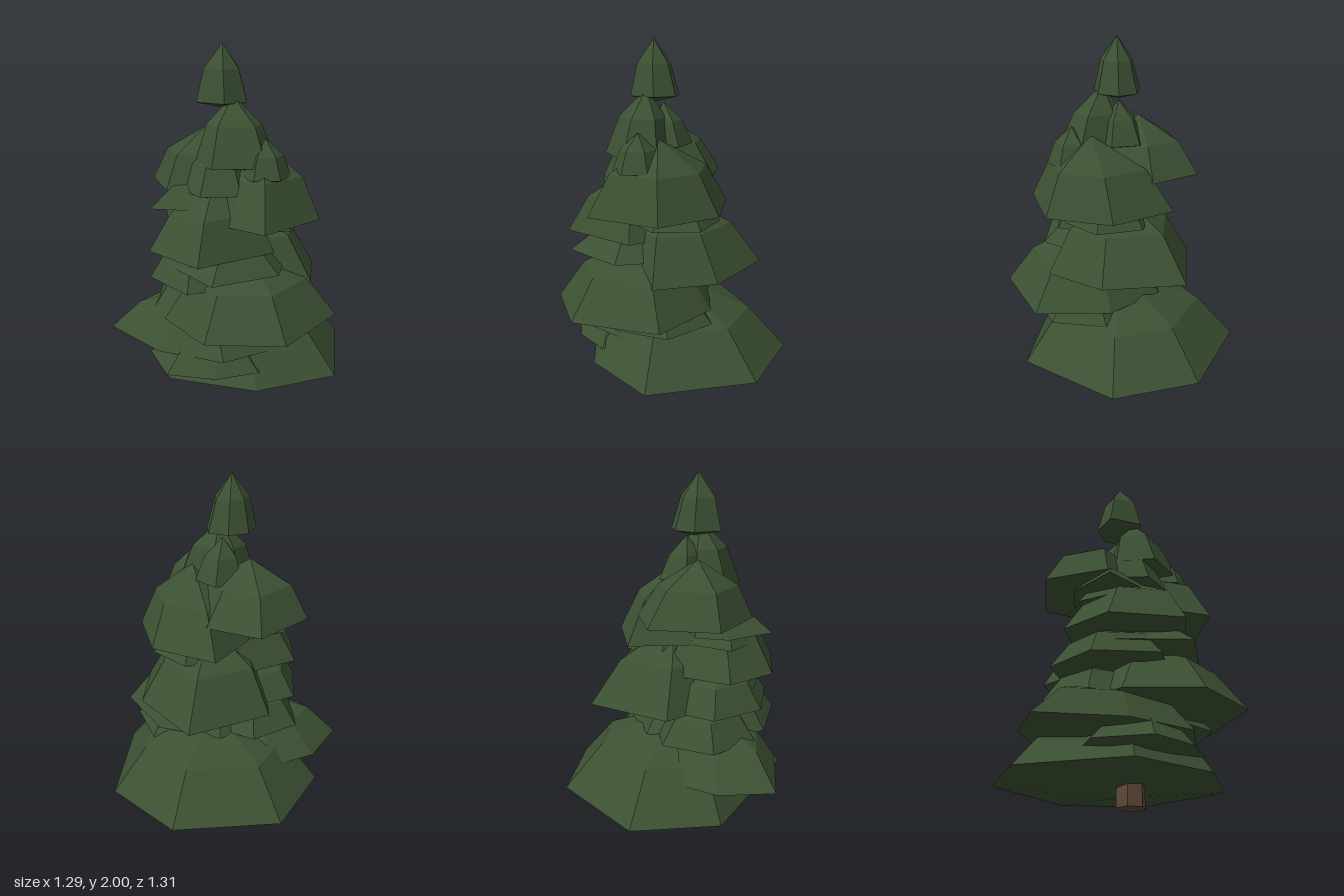
import * as THREE from 'three';

const foliage = new THREE.MeshStandardMaterial({ color: 0x3c5133 });
foliage.name = 'dark pine green';
const bark = new THREE.MeshStandardMaterial({ color: 0x5c4936 });
bark.name = 'bark brown';

// Separate the faces so every facet is flat
function faceted(geometry) {
  const flat = geometry.toNonIndexed();
  flat.computeVertexNormals();
  return flat;
}

// Regular rim corners [x, z], running from +x towards +z
function ring(cx, cz, radius, degrees, sides = 6) {
  return Array.from({ length: sides }, (_, i) => {
    const a = THREE.MathUtils.degToRad(degrees) + (i / sides) * Math.PI * 2;
    return [cx + Math.cos(a) * radius, cz + Math.sin(a) * radius];
  });
}

// One bough: a bell with a sharp rim, a shoulder, a tip and a shallow pointed underside.
// The rim is a list of [x, z] corners; lean shifts the tip sideways.
function bough(name, rimY, tipY, rim, [leanX, leanZ] = [0, 0]) {
  const n = rim.length;
  const cx = rim.reduce((sum, c) => sum + c[0], 0) / n;
  const cz = rim.reduce((sum, c) => sum + c[1], 0) / n;
  const reach = rim.reduce((sum, [x, z]) => sum + Math.hypot(x - cx, z - cz), 0) / n;
  const height = tipY - rimY;
  const points = [];
  const indices = [];
  for (const [scale, t] of [[1, 0], [0.68, 0.57]]) {
    for (const [x, z] of rim) {
      points.push(cx + (x - cx) * scale + leanX * t, rimY + height * t, cz + (z - cz) * scale + leanZ * t);
    }
  }
  points.push(cx, rimY - 0.025 - reach * 0.075, cz);
  points.push(cx + leanX, tipY, cz + leanZ);
  const [under, tip] = [2 * n, 2 * n + 1];
  for (let a = 0; a < n; a++) {
    const b = (a + 1) % n;
    indices.push(under, a, b, b, a, n + a, b, n + a, n + b, n + b, n + a, tip);
  }
  const geometry = new THREE.BufferGeometry();
  geometry.setAttribute('position', new THREE.Float32BufferAttribute(points, 3));
  geometry.setIndex(indices);
  const mesh = new THREE.Mesh(faceted(geometry), foliage);
  mesh.name = name;
  return mesh;
}

export function createModel() {
  const tree = new THREE.Group();
  tree.name = 'conifer';

  // Short six-sided trunk
  const trunk = new THREE.Mesh(faceted(new THREE.CylinderGeometry(0.075, 0.08, 0.3, 6)), bark);
  trunk.name = 'trunk';
  trunk.rotation.y = Math.PI / 6;
  trunk.position.set(0.022, 0.15, 0.125);
  tree.add(trunk);

  // Wide skirt of low boughs
  tree.add(
    bough('baseSkirt', 0.155, 0.6,
      [[0.64, -0.03], [0.38, 0.38], [-0.1, 0.56], [-0.62, 0.23], [-0.65, -0.27], [-0.17, -0.66], [0.33, -0.58]], [0.02, 0.04]),
    bough('lowFrontBough', 0.24, 0.44,
      [[0.36, 0.33], [0.22, 0.53], [-0.03, 0.65], [-0.3, 0.5], [-0.3, 0.2], [-0.1, 0], [0.3, 0.1]]),
    bough('lowLeftFrontBough', 0.33, 0.63,
      [[0.41, 0.1], [0.24, 0.49], [-0.14, 0.6], [-0.59, 0.53], [-0.6, 0.21], [-0.45, -0.04], [-0.05, -0.2], [0.3, -0.15]], [0, 0.03]),
    bough('lowSideBough', 0.43, 0.65, ring(0.21, 0.02, 0.32, -25)),
    bough('lowBroadBough', 0.5, 0.88,
      [[0.59, -0.1], [0.59, 0.41], [0.24, 0.65], [-0.15, 0.53], [-0.33, 0.18], [-0.17, -0.17], [0.2, -0.28]]),
    bough('lowOuterBough', 0.51, 0.76, ring(-0.17, 0.17, 0.31, 175)),
  );

  // Middle boughs
  tree.add(
    bough('middleBackBough', 0.695, 1.13,
      [[0.47, -0.02], [0.18, 0.3], [-0.22, 0.26], [-0.43, -0.06], [-0.17, -0.49], [0.28, -0.34]], [0, 0.06]),
    bough('middleFrontBough', 0.7, 0.95,
      [[0.2, 0.3], [0.05, 0.56], [-0.3, 0.48], [-0.45, 0.2], [-0.3, -0.05], [0, 0]]),
    bough('middleThinBough', 0.79, 0.96,
      [[0.41, 0.22], [0.23, 0.57], [-0.2, 0.45], [-0.25, 0.1], [0.05, -0.05], [0.3, 0]]),
    bough('middleBroadBough', 0.89, 1.26,
      [[0.34, 0.16], [0.17, 0.61], [-0.23, 0.55], [-0.4, 0.29], [-0.22, -0.06], [0.11, -0.06]], [0.03, 0]),
    bough('middleSideBough', 0.98, 1.2, ring(0.09, -0.03, 0.265, 10)),
    bough('middleInnerBough', 1.06, 1.24,
      [[0.18, 0.15], [0.12, 0.42], [-0.15, 0.47], [-0.33, 0.3], [-0.2, 0.08]]),
  );

  // Upper boughs, set off to either side
  tree.add(
    bough('upperRightHandBough', 1.055, 1.47,
      [[0.49, -0.06], [0.42, 0.37], [0.19, 0.37], [-0.2, 0.17], [-0.2, -0.27], [0.2, -0.32]], [0.02, 0]),
    bough('upperFrontBough', 1.13, 1.31,
      [[0.1, 0.15], [0.05, 0.4], [-0.22, 0.54], [-0.35, 0.28], [-0.3, 0.1], [-0.1, 0.05]], [0.03, -0.05]),
    bough('upperLeftHandBough', 1.215, 1.54,
      [[0.12, 0.2], [-0.2, 0.43], [-0.5, 0.22], [-0.42, -0.16], [-0.1, -0.21], [0.13, -0.05]], [-0.01, 0.05]),
    bough('upperThinBough', 1.21, 1.47, ring(0, 0.21, 0.22, 20)),
    bough('upperSmallBough', 1.3, 1.51, ring(0.25, 0.13, 0.145, 20)),
    bough('upperBackBough', 1.41, 1.65, ring(-0.02, 0.04, 0.14, 30, 5), [0, 0.03]),
    bough('upperCrownBough', 1.36, 1.73,
      [[0.31, 0.2], [0.09, 0.39], [-0.11, 0.29], [-0.1, 0.12], [0.02, 0], [0.25, 0.02]], [-0.03, -0.02]),
  );

  // Top cone
  tree.add(bough('treeTop', 1.685, 2,
    [[0.1, 0.09], [0.06, 0.24], [-0.13, 0.25], [-0.17, 0.1], [-0.1, 0], [0.02, -0.015]], [0, 0.02]));

  return tree;
}
